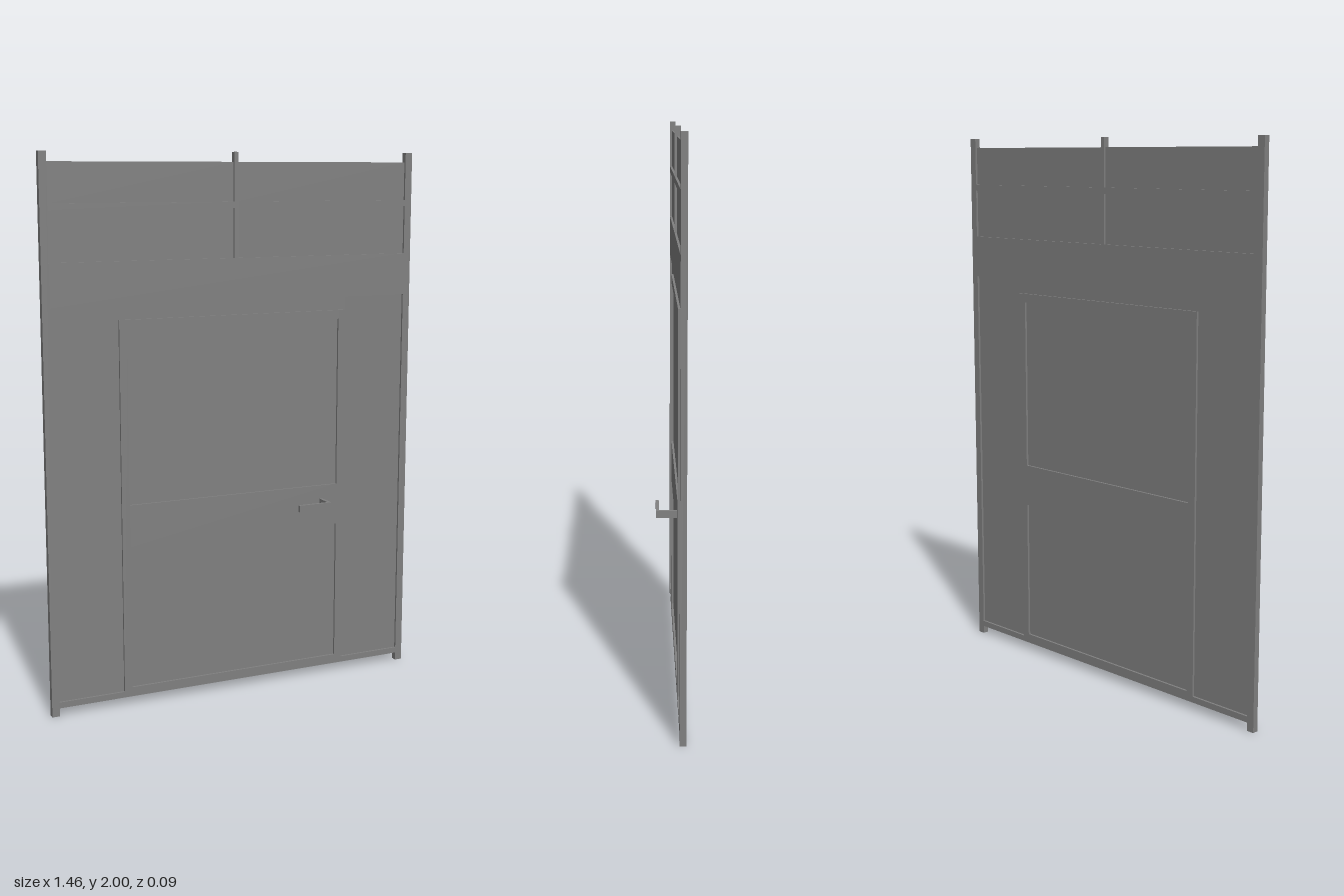
import * as THREE from 'three';

export function createModel() {
  const model = new THREE.Group();
  model.name = 'doorPartition';
  const grey = new THREE.MeshStandardMaterial({ color: 0x808080 });
  grey.name = 'grey';

  const BACK = -0.047, FRONT = -0.025;      // frame depth
  const MID = (BACK + FRONT) / 2, PANE = 0.003; // pane centre and half thickness

  // box given by its limits on each axis
  function block(parent, name, x0, x1, y0, y1, z0 = BACK, z1 = FRONT) {
    const mesh = new THREE.Mesh(new THREE.BoxGeometry(x1 - x0, y1 - y0, z1 - z0), grey);
    mesh.position.set((x0 + x1) / 2, (y0 + y1) / 2, (z0 + z1) / 2);
    mesh.name = name;
    parent.add(mesh);
  }
  const pane = (parent, name, x0, x1, y0, y1) =>
    block(parent, name, x0, x1, y0, y1, MID - PANE, MID + PANE);
  // same limits on both sides of the centre line
  function mirrored(build, parent, name, x0, x1, y0, y1) {
    build(parent, name + 'Left', x0, x1, y0, y1);
    build(parent, name + 'Right', -x1, -x0, y0, y1);
  }

  // Outer frame
  const frame = new THREE.Group();
  frame.name = 'frame';
  mirrored(block, frame, 'post', 0.702, 0.73, 0, 2);
  block(frame, 'bottomRail', -0.702, 0.702, 0.03, 0.052);
  block(frame, 'transomRail', -0.702, 0.702, 1.47, 1.625);
  block(frame, 'mullion', -0.008, 0.008, 1.625, 2);
  mirrored(block, frame, 'upperRail', 0.008, 0.702, 1.802, 1.825);

  // Thin infill panes
  const panes = new THREE.Group();
  panes.name = 'panes';
  mirrored(pane, panes, 'topPane', 0.008, 0.702, 1.825, 1.965);
  mirrored(pane, panes, 'transomPane', 0.008, 0.702, 1.625, 1.802);
  mirrored(pane, panes, 'sidePane', 0.452, 0.702, 0.052, 1.47);
  pane(panes, 'overDoorPane', -0.452, 0.452, 1.42, 1.47);

  // Door leaf with two recessed panels
  const door = new THREE.Group();
  door.name = 'door';
  mirrored(block, door, 'doorStile', 0.422, 0.452, 0.052, 1.42);
  block(door, 'doorTopRail', -0.422, 0.422, 1.387, 1.42);
  block(door, 'doorLockRail', -0.422, 0.422, 0.595, 0.752);
  block(door, 'doorBottomRail', -0.422, 0.422, 0.052, 0.065);
  pane(door, 'doorUpperPanel', -0.422, 0.422, 0.752, 1.387);
  pane(door, 'doorLowerPanel', -0.422, 0.422, 0.065, 0.595);

  // Lever handle on the front
  const handle = new THREE.Group();
  handle.name = 'handle';
  block(handle, 'handleStem', 0.35, 0.362, 0.675, 0.7, FRONT, 0.047);
  block(handle, 'handleLever', 0.228, 0.35, 0.675, 0.7, 0.036, 0.047);

  model.add(frame, panes, door, handle);
  return model;
}
